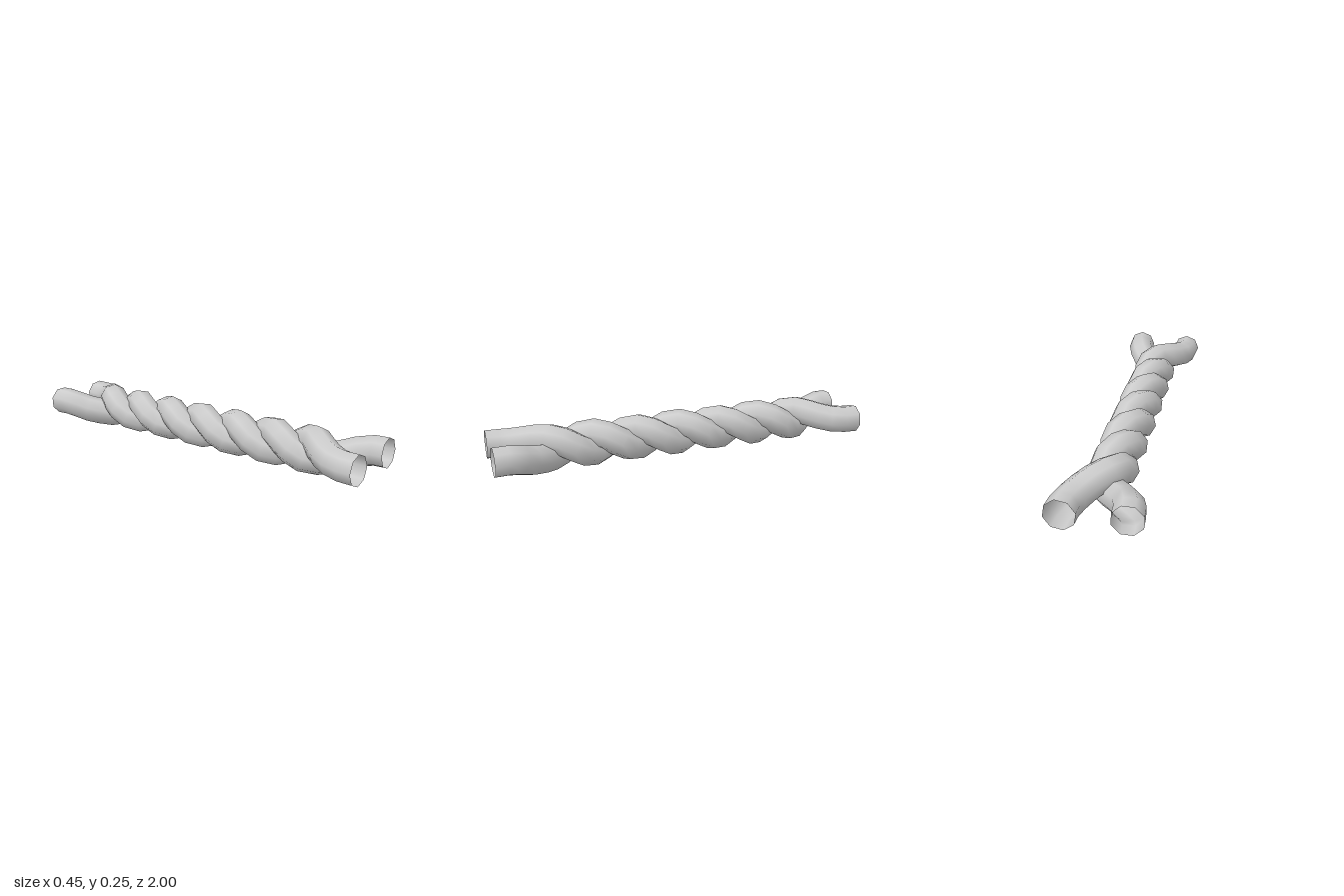
import * as THREE from 'three';

const CENTER_Y = 0.125;   // height of the twist axis
const TUBE_R = 0.076;
const HELIX_R = 0.047;
const TWIST_END = 0.695;  // z where the regular twist starts and stops
const TURNS = 3;

// Path of one strand: splayed end, three turns of helix, mirrored splayed end
function strandPath() {
  const splay = [
    [-0.147, 0.004, 1], [-0.146, 0.004, 0.96], [-0.136, 0.006, 0.9],
    [-0.108, 0.014, 0.835], [-0.066, 0.032, 0.77],
  ].map((p) => new THREE.Vector3(...p));
  const points = [...splay];
  const steps = TURNS * 8;
  for (let i = 0; i <= steps; i++) {
    const t = i / steps;
    const a = t * TURNS * Math.PI * 2;
    points.push(new THREE.Vector3(
      HELIX_R * Math.sin(a), HELIX_R * Math.cos(a), TWIST_END * (1 - 2 * t)));
  }
  for (const p of splay.reverse()) points.push(new THREE.Vector3(-p.x, p.y, -p.z));
  return points;
}

export function createModel() {
  const group = new THREE.Group();
  group.name = 'twistedRope';
  const material = new THREE.MeshStandardMaterial({ color: 0xcccccc, side: THREE.DoubleSide });

  // Two open-ended strands, half a turn apart
  ['firstStrand', 'secondStrand'].forEach((name, i) => {
    const sign = i === 0 ? 1 : -1;
    const points = strandPath().map((p) => {
      const endLift = Math.abs(p.z) > 0.85 && i === 1 ? 0.016 : 0;
      return new THREE.Vector3(sign * p.x, CENTER_Y + sign * p.y + endLift, p.z);
    });
    const curve = new THREE.CatmullRomCurve3(points);
    const strand = new THREE.Mesh(new THREE.TubeGeometry(curve, 34, TUBE_R, 8, false), material);
    strand.name = name;
    group.add(strand);
  });
  return group;
}
